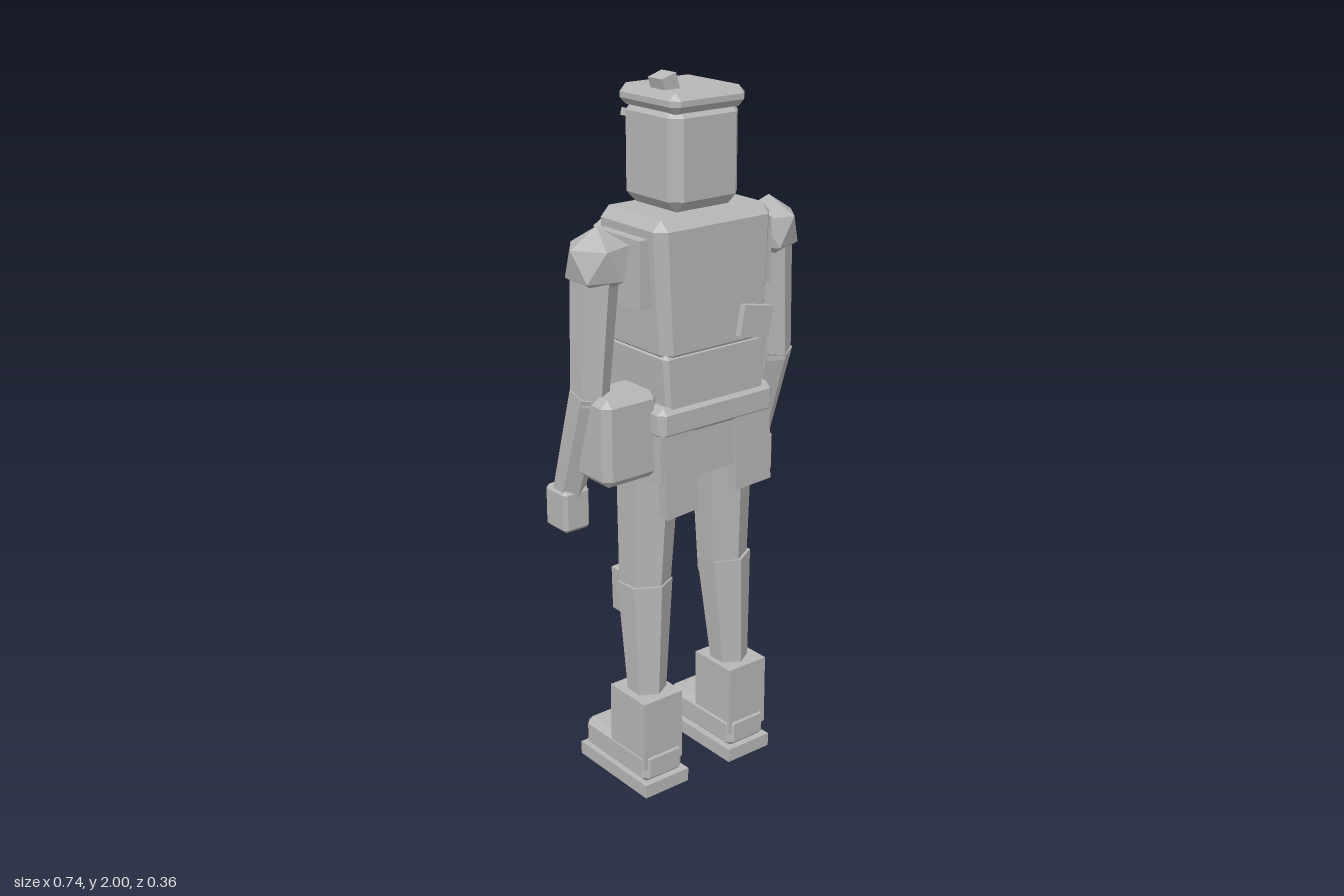
import * as THREE from 'three';
import { ConvexGeometry } from 'three/addons/geometries/ConvexGeometry.js';

const grey = new THREE.MeshStandardMaterial({ color: 0xb6b6b6 });
grey.name = 'plainGrey';

export function createModel() {
  const model = new THREE.Group();
  model.name = 'soldier';

  const add = (name, geometry, parent = model) => {
    const flat = geometry.index ? geometry.toNonIndexed() : geometry;
    flat.computeVertexNormals();
    const mesh = new THREE.Mesh(flat, grey);
    mesh.name = name;
    parent.add(mesh);
    return mesh;
  };

  // Box given by its ranges, tilted about its own centre
  const box = (name, [x0, x1], [y0, y1], [z0, z1], tilt = 0, parent = model) => {
    const m = add(name, new THREE.BoxGeometry(x1 - x0, y1 - y0, z1 - z0), parent);
    m.position.set((x0 + x1) / 2, (y0 + y1) / 2, (z0 + z1) / 2);
    m.rotation.z = tilt;
    return m;
  };

  // Box with chamfered edges; taper scales the width at the bottom
  const chamfer = (name, [x0, x1], [y0, y1], [z0, z1], c, taper = 1, parent = model) => {
    const cx = (x0 + x1) / 2, cy = (y0 + y1) / 2, cz = (z0 + z1) / 2;
    const h = [(x1 - x0) / 2, (y1 - y0) / 2, (z1 - z0) / 2];
    const points = [];
    for (const sx of [-1, 1]) for (const sy of [-1, 1]) for (const sz of [-1, 1])
      for (let full = 0; full < 3; full++) {
        const s = [sx, sy, sz];
        const p = h.map((v, i) => s[i] * (i === full ? v : v - c));
        const k = THREE.MathUtils.lerp(taper, 1, (p[1] + h[1]) / (2 * h[1]));
        points.push(new THREE.Vector3(cx + p[0] * k, cy + p[1], cz + p[2]));
      }
    return add(name, new ConvexGeometry(points), parent);
  };

  // Six-sided tapered limb between two points
  const limb = (name, a, b, ra, rb, parent) => {
    const from = new THREE.Vector3(...a), to = new THREE.Vector3(...b);
    const dir = from.clone().sub(to);
    const m = add(name, new THREE.CylinderGeometry(ra, rb, dir.length(), 6), parent);
    m.position.copy(from).add(to).multiplyScalar(0.5);
    m.quaternion.setFromUnitVectors(new THREE.Vector3(0, 1, 0), dir.normalize());
    return m;
  };

  // Head, cap and neck
  chamfer('head', [-0.115, 0.115], [1.65, 1.92], [-0.11, 0.12], 0.03);
  chamfer('cap', [-0.122, 0.122], [1.9, 1.955], [-0.115, 0.128], 0.02);
  box('capTab', [-0.103, -0.057], [1.935, 1.99], [0.007, 0.065], 0.3);
  box('neck', [-0.06, 0.06], [1.6, 1.68], [-0.05, 0.07]);

  // Face, looking towards -z
  for (const s of [-1, 1]) {
    const span = (a, b) => (s > 0 ? [a, b] : [-b, -a]);
    box('eye', span(0.032, 0.072), [1.81, 1.845], [-0.135, -0.105]);
    box('brow', span(0.022, 0.082), [1.856, 1.876], [-0.145, -0.105], s * 0.25);
    box('moustacheEnd', span(0.034, 0.05), [1.68, 1.79], [-0.135, -0.105]);
  }
  box('nose', [-0.018, 0.018], [1.77, 1.84], [-0.148, -0.105]);
  box('moustache', [-0.042, 0.042], [1.755, 1.785], [-0.16, -0.105]);
  box('beard', [-0.04, 0.04], [1.67, 1.76], [-0.14, -0.105]);

  // Torso
  chamfer('chest', [-0.195, 0.195], [1.27, 1.65], [-0.115, 0.158], 0.028, 0.89);
  chamfer('abdomen', [-0.175, 0.175], [1.1, 1.3], [-0.105, 0.155], 0.012, 0.92);
  for (const x of [-0.18, 0.18])
    box('shoulderPiece', [x - 0.04, x + 0.04], [1.42, 1.6], [-0.07, 0.11]);
  box('placket', [-0.01, 0.01], [1.18, 1.58], [-0.122, -0.1]);
  box('chestPocket', [-0.15, -0.035], [1.34, 1.46], [-0.125, -0.1]);
  box('backPatch', [0.065, 0.165], [1.302, 1.388], [0.15, 0.178], -0.2);
  const strap = add('chestStrap', new THREE.BoxGeometry(0.045, 0.58, 0.036));
  strap.position.set(0, 1.345, -0.137);
  strap.rotation.z = Math.atan2(0.29, 0.48);

  // Belt, hips and coat flaps
  chamfer('belt', [-0.195, 0.195], [1.07, 1.16], [-0.115, 0.165], 0.018);
  box('buckle', [-0.033, 0.033], [1.07, 1.13], [-0.15, -0.1]);
  box('hips', [-0.18, 0.18], [0.94, 1.09], [-0.1, 0.13]);
  const crotch = add('crotch', new THREE.CylinderGeometry(0.08, 0.01, 0.09, 4));
  crotch.position.set(-0.005, 0.915, 0.02);
  box('leftTail', [0.06, 0.185], [0.875, 1.09], [0.128, 0.16], 0.04);
  box('rightTail', [-0.18, -0.075], [0.85, 1.09], [0.128, 0.16], 0.06);
  box('backFlap', [-0.19, 0.185], [0.95, 1.09], [0.125, 0.155]);

  // Side bag and knee patch
  chamfer('sideBag', [-0.34, -0.165], [0.96, 1.2], [-0.02, 0.12], 0.02);
  const patch = box('kneePatch', [-0.195, -0.09], [0.515, 0.645], [-0.06, -0.03], 0.06);
  patch.rotation.x = 0.05;

  for (const s of [-1, 1]) {
    const side = s > 0 ? 'left' : 'right';
    const span = (a, b) => (s > 0 ? [a, b] : [-b, -a]);

    // Arm
    const arm = new THREE.Group();
    arm.name = side + 'Arm';
    model.add(arm);
    const shoulder = add('shoulder', new THREE.IcosahedronGeometry(0.091, 0), arm);
    shoulder.position.set(s * 0.287, 1.542, 0.022);
    shoulder.rotation.z = -s * Math.atan(2 / (1 + Math.sqrt(5)));
    limb('upperArm', [s * 0.293, 1.53, 0.02], [s * 0.317, 1.17, 0.02], 0.064, 0.05, arm);
    limb('forearm', [s * 0.317, 1.2, 0.022], [s * 0.328, 0.88, -0.075], 0.053, 0.042, arm);
    chamfer('hand', span(0.285, 0.37), [0.795, 0.915], [-0.122, -0.028], 0.01, 1, arm);
    box('thumb', span(0.263, 0.29), [0.84, 0.9], [-0.116, -0.075], 0, arm);

    // Leg and boot
    const leg = new THREE.Group();
    leg.name = side + 'Leg';
    model.add(leg);
    limb('thigh', [s * 0.128, 1.0, 0.022], [s * 0.14, 0.565, 0.016], 0.088, 0.07, leg);
    limb('shin', [s * 0.142, 0.615, 0.02], [s * 0.152, 0.25, 0.04], 0.077, 0.052, leg);
    box('bootShaft', span(0.088, 0.222), [0.08, 0.29], [-0.038, 0.117], 0, leg);
    chamfer('bootFoot', span(0.084, 0.224), [0.035, 0.13], [-0.168, 0.122], 0.018, 1, leg);
    box('bootSole', span(0.076, 0.228), [0, 0.04], [-0.18, 0.13], 0, leg);
  }
  return model;
}
